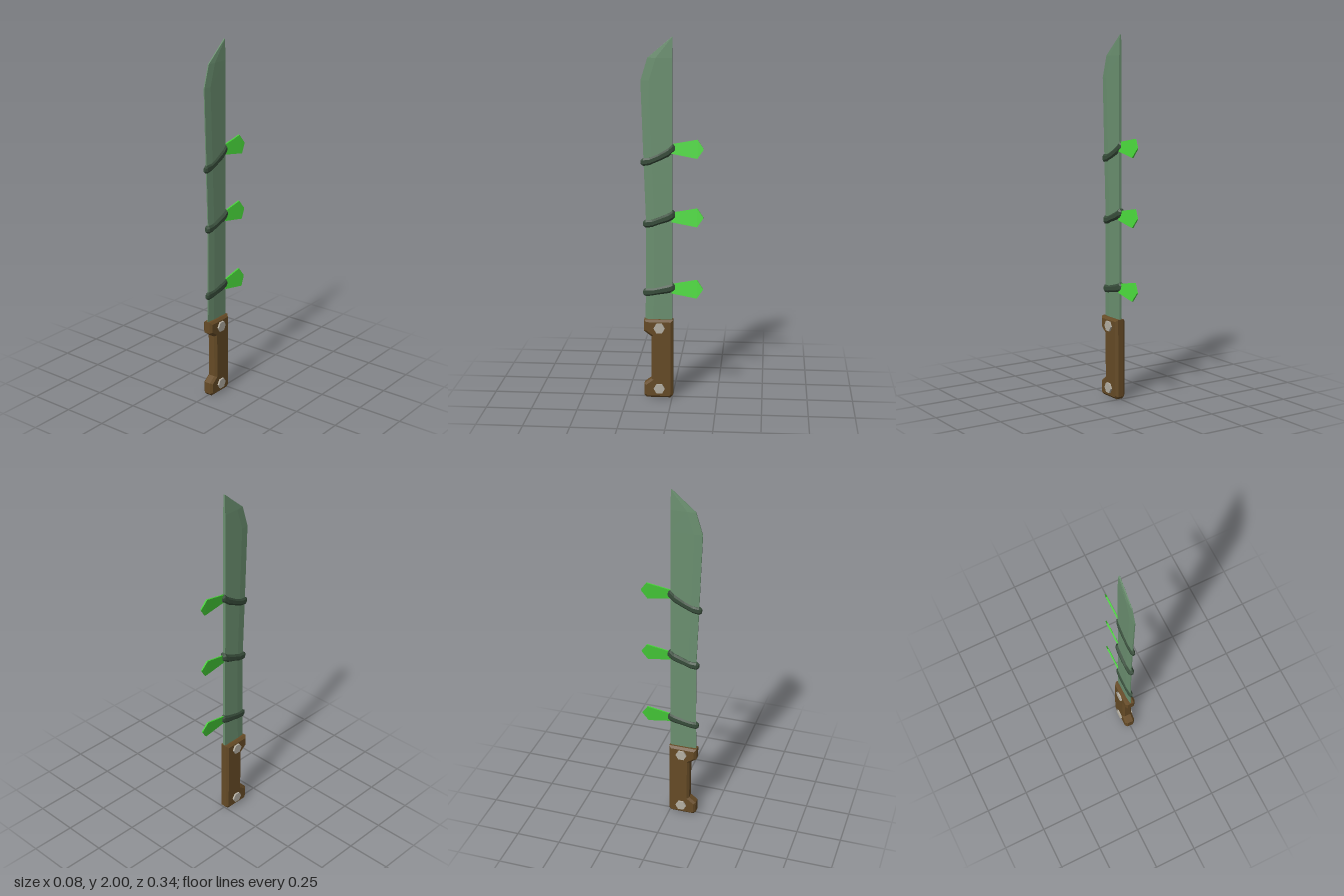
import * as THREE from 'three';

const mat = (color) => new THREE.MeshStandardMaterial({ color, flatShading: true });

// Solid skinned over equal-sized rings of [x, y, z]; rings run counter-clockwise about the travel direction
function loft(rings) {
  const n = rings[0].length, last = rings.length - 1, pos = [];
  const tri = (a, b, c) => pos.push(...a, ...b, ...c);
  for (let i = 0; i < last; i++) {
    for (let j = 0; j < n; j++) {
      const k = (j + 1) % n;
      tri(rings[i][j], rings[i][k], rings[i + 1][k]);
      tri(rings[i][j], rings[i + 1][k], rings[i + 1][j]);
    }
  }
  for (let j = 1; j < n - 1; j++) {
    tri(rings[0][0], rings[0][j + 1], rings[0][j]);
    tri(rings[last][0], rings[last][j], rings[last][j + 1]);
  }
  const g = new THREE.BufferGeometry();
  g.setAttribute('position', new THREE.Float32BufferAttribute(pos, 3));
  g.computeVertexNormals();
  return g;
}

export function createModel() {
  const model = new THREE.Group();
  const add = (name, geometry, material) => {
    const mesh = new THREE.Mesh(geometry, material);
    mesh.name = name;
    model.add(mesh);
    return mesh;
  };
  const bladeMat = mat(0x6b9070), vineMat = mat(0x374c3a), leafMat = mat(0x48d43a);
  const woodMat = mat(0x664b26), boltMat = mat(0xb4afa3);

  // Blade: flat spine at z = 0, bevelled towards the cutting edge; stations are [y, edge z]
  const stations = [[0.4, 0.15], [0.62, 0.145], [1.0, 0.143], [1.33, 0.155], [1.77, 0.17], [1.89, 0.133], [2.0, 0.003]];
  add('blade', loft(stations.map(([y, e]) => {
    const s = Math.max(e - 0.045, e * 0.4);
    const t = y === 2 ? 0.004 : 0.008;
    return [[-0.003, y, e], [0.003, y, e], [t * 0.95, y, s], [t, y, 0], [-t, y, 0], [-t * 0.95, y, s]];
  })), bladeMat);

  // Handle: hooked grip outline in (z, y), with chamfered edges
  const b = 0.012;
  const outline = [[-0.005, 0.02], [0.01, 0.005], [0.14, 0.005], [0.155, 0.02], [0.155, 0.085], [0.115, 0.115],
    [0.115, 0.36], [0.155, 0.39], [0.155, 0.455], [-0.005, 0.455]];
  const grip = new THREE.ExtrudeGeometry(
    new THREE.Shape(outline.map(([z, y]) => new THREE.Vector2(z, y))),
    { depth: 0.036, bevelEnabled: true, bevelThickness: b, bevelSize: b, bevelOffset: -b, bevelSegments: 1 });
  grip.translate(0, 0, -0.018).rotateY(-Math.PI / 2);
  add('handle', grip, woodMat);

  // Hexagonal bolts through the handle
  for (const y of [0.06, 0.41]) {
    const hex = new THREE.CylinderGeometry(0.031, 0.031, 0.08, 6).rotateZ(Math.PI / 2);
    add('bolt', hex, boltMat).position.set(0, y, 0.07);
  }

  // Vine bands around the blade, each with a leaf behind the spine
  const vines = [
    { edge: 0.147, low: 0.607, high: 0.637, t: 0.016, leaf: 0.63 },
    { edge: 0.145, low: 0.993, high: 1.045, t: 0.022, leaf: 1.03 },
    { edge: 0.157, low: 1.332, high: 1.408, t: 0.016, leaf: 1.405 },
  ];
  for (const { edge, low, high, t, leaf } of vines) {
    // [z, height along the slope, half height, half thickness]
    const band = [[-0.016, 0.97, 0.013, t * 0.5], [-0.003, 1, 0.025, t * 0.9], [0.02, 0.72, 0.023, t],
      [0.075, 0.33, 0.02, t * 0.95], [edge - 0.035, 0.06, 0.02, t * 0.85], [edge, 0, 0.021, t * 0.75],
      [edge + 0.013, 0, 0.012, t * 0.4]];
    add('vineBand', loft(band.map(([z, f, h, w]) => {
      const y = low + (high - low) * f;
      return [[w, y - h * 0.5], [w, y + h * 0.5], [w * 0.5, y + h], [-w * 0.5, y + h],
        [-w, y + h * 0.5], [-w, y - h * 0.5], [-w * 0.5, y - h], [w * 0.5, y - h]].map(([x, yy]) => [x, yy, z]);
    })), vineMat);

    // Leaf: thin leaning blade, broad near its tip; [z, half height, half thickness]
    const blade = [[-0.168, 0.003, 0.0035], [-0.135, 0.05, 0.0045], [0.005, 0.025, 0.004]];
    add('leaf', loft(blade.map(([z, h, w]) => {
      const lean = h * 0.17, c = 0.0035;
      return [[c + lean + w, leaf - h, z], [c - lean + w, leaf + h, z],
        [c - lean - w, leaf + h, z], [c + lean - w, leaf - h, z]];
    })), leafMat);
  }
  return model;
}
